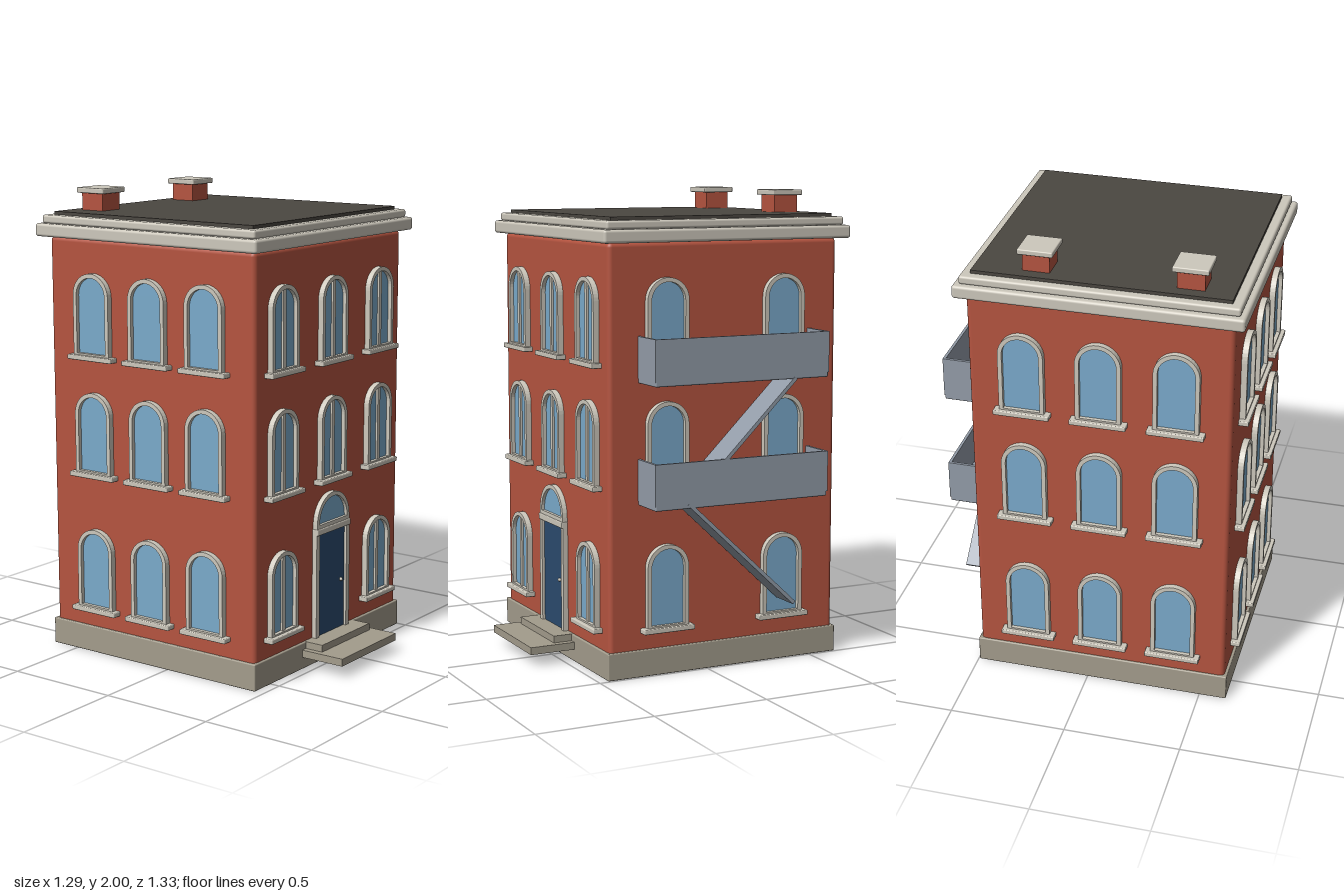
import * as THREE from 'three';
import { RoundedBoxGeometry } from 'three/addons/geometries/RoundedBoxGeometry.js';

const mat = (name, color) => {
  const m = new THREE.MeshStandardMaterial({ color });
  m.name = name;
  return m;
};

export function createModel() {
  const brick = mat('brick', 0xb55440);
  const trim = mat('cream trim', 0xcdc8bc);
  const stone = mat('base stone', 0xa39c8c);
  const tar = mat('roof tar', 0x4b4741);
  const glass = mat('window glass', 0x7aaacb);
  const paint = mat('door paint', 0x2b4b6e);
  const metal = mat('fire escape metal', 0x939ca8);

  const model = new THREE.Group();
  model.name = 'townHouse';

  const add = (parent, name, geometry, material, x = 0, y = 0, z = 0) => {
    const mesh = new THREE.Mesh(geometry, material);
    mesh.name = name;
    mesh.position.set(x, y, z);
    parent.add(mesh);
    return mesh;
  };
  // Box given by its limits on each axis, with optional rounded edges
  const box = (parent, name, material, [x0, x1], [y0, y1], [z0, z1], r = 0) => {
    const size = [x1 - x0, y1 - y0, z1 - z0];
    const geometry = r ? new RoundedBoxGeometry(...size, 3, r) : new THREE.BoxGeometry(...size);
    return add(parent, name, geometry, material, (x0 + x1) / 2, (y0 + y1) / 2, (z0 + z1) / 2);
  };
  // Round-topped outline: half width w, from y0 up to the springing line y1
  const arch = (w, y0, y1, Kind = THREE.Shape) => {
    const s = new Kind();
    s.moveTo(-w, y0);
    s.lineTo(w, y0);
    s.lineTo(w, y1);
    s.absarc(0, y1, w, 0, Math.PI, false);
    s.closePath();
    return s;
  };
  const archFrame = (w, y0, y1, t, bottom, depth) => {
    const s = arch(w, y0, y1);
    s.holes.push(arch(w - t, y0 + bottom, y1, THREE.Path));
    return new THREE.ExtrudeGeometry(s, { depth, bevelEnabled: false, curveSegments: 10 });
  };

  // Main block
  box(model, 'plinth', stone, [-0.617, 0.495], [0, 0.115], [-0.63, 0.46], 0.005);
  box(model, 'brickWalls', brick, [-0.605, 0.485], [0.09, 1.802], [-0.62, 0.45], 0.02);
  box(model, 'lowerCornice', trim, [-0.649, 0.529], [1.8, 1.855], [-0.665, 0.487], 0.012);
  box(model, 'upperCornice', trim, [-0.627, 0.505], [1.855, 1.89], [-0.643, 0.465], 0.01);
  box(model, 'roof', tar, [-0.588, 0.466], [1.88, 1.904], [-0.605, 0.43]);

  // Chimneys
  for (const x of [-0.412, 0.211]) {
    const z = -0.498;
    box(model, 'chimneyStack', brick, [x - 0.056, x + 0.056], [1.89, 1.98], [z - 0.056, z + 0.056]);
    box(model, 'chimneyCap', trim, [x - 0.073, x + 0.073], [1.977, 2], [z - 0.073, z + 0.073], 0.005);
  }

  // Arched windows, built facing +z with the sill top at y = 0
  const frameGeometry = archFrame(0.095, 0, 0.255, 0.018, 0.01, 0.025);
  const paneGeometry = new THREE.ShapeGeometry(arch(0.08, 0, 0.255), 10);
  const makeWindow = (mullion) => {
    const g = new THREE.Group();
    g.name = 'window';
    add(g, 'windowFrame', frameGeometry, trim);
    add(g, 'windowPane', paneGeometry, glass, 0, 0, 0.008);
    box(g, 'windowSill', trim, [-0.118, 0.118], [-0.018, 0.003], [-0.01, 0.042], 0.004);
    if (mullion) box(g, 'windowMullion', trim, [-0.01, 0.01], [0, 0.332], [0, 0.017]);
    return g;
  };
  const rows = [0.203, 0.8, 1.308];
  const addWindows = (columns, place, turn, mullion, skip = () => false) => {
    for (const y of rows) for (const c of columns) {
      if (skip(c, y)) continue;
      const w = makeWindow(mullion);
      const [x, z] = place(c);
      w.position.set(x, y, z);
      w.rotation.y = turn;
      model.add(w);
    }
  };
  const doorX = -0.06;
  addWindows([-0.42, doorX, 0.3], (c) => [c, 0.45], 0, true, (c, y) => c === doorX && y < 0.5);
  addWindows([-0.38, -0.06, 0.26], (c) => [c, -0.62], Math.PI, false);
  addWindows([-0.357, 0.19], (c) => [0.485, c], Math.PI / 2, false);
  addWindows([-0.38, -0.085, 0.21], (c) => [-0.605, c], -Math.PI / 2, false);

  // Front door with fanlight
  const door = new THREE.Group();
  door.name = 'frontDoor';
  door.position.set(doorX, 0, 0.45);
  model.add(door);
  box(door, 'doorPanel', paint, [-0.108, 0.108], [0.115, 0.57], [-0.01, 0.01]);
  for (const s of [-1, 1]) {
    box(door, 'doorJamb', trim, [s * 0.115 - 0.012, s * 0.115 + 0.012], [0.115, 0.57], [-0.01, 0.022]);
  }
  box(door, 'transomBar', trim, [-0.127, 0.127], [0.565, 0.592], [-0.01, 0.028], 0.004);
  add(door, 'fanlightFrame', archFrame(0.123, 0.59, 0.612, 0.018, 0.018, 0.022), trim);
  add(door, 'fanlightPane', new THREE.ShapeGeometry(arch(0.107, 0.595, 0.612), 10), glass, 0, 0, 0.008);
  add(door, 'doorKnob', new THREE.SphereGeometry(0.008, 10, 8), trim, 0.072, 0.33, 0.016);

  // Entrance steps
  box(model, 'upperStep', stone, [-0.246, 0.124], [0.085, 0.115], [0.44, 0.543]);
  box(model, 'lowerStep', stone, [-0.273, 0.152], [0.053, 0.085], [0.44, 0.661]);

  // Fire escape landings with solid railings
  const escape = new THREE.Group();
  escape.name = 'fireEscape';
  model.add(escape);
  for (const y of [0.725, 1.23]) {
    box(escape, 'landingFloor', metal, [0.48, 0.643], [y, y + 0.026], [-0.49, 0.316], 0.006);
    box(escape, 'outerRailing', metal, [0.633, 0.645], [y + 0.02, y + 0.192], [-0.492, 0.318]);
    for (const z of [-0.486, 0.312]) {
      box(escape, 'endRailing', metal, [0.485, 0.64], [y + 0.02, y + 0.192], [z - 0.006, z + 0.006]);
    }
  }
  // Sloping stairs between [z, y] end points
  const stair = ([z0, y0], [z1, y1]) => {
    const dz = z1 - z0, dy = y1 - y0;
    const g = new THREE.BoxGeometry(0.14, 0.016, Math.hypot(dz, dy));
    const m = add(escape, 'stairFlight', g, metal, 0.575, (y0 + y1) / 2, (z0 + z1) / 2);
    m.rotation.x = -Math.atan2(dy, dz);
  };
  stair([-0.335, 1.235], [0.165, 0.745]);
  stair([-0.335, 0.28], [0.165, 0.745]);

  return model;
}
